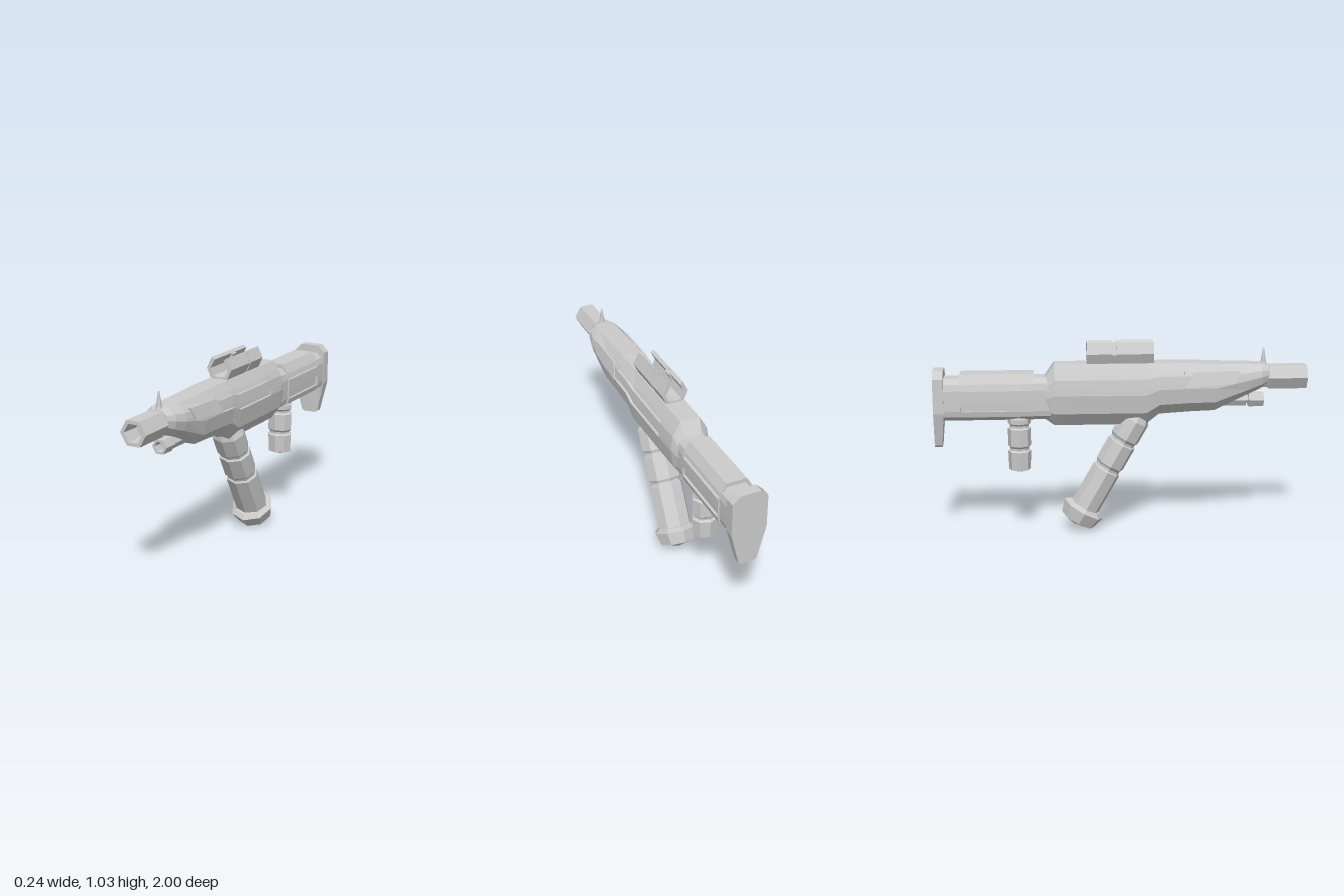
import * as THREE from 'three';

const grey = new THREE.MeshStandardMaterial({ color: 0xcccccc, flatShading: true, side: THREE.DoubleSide });
const TILT = 0.513; // lean of the main grip

function add(parent, name, geo, x = 0, y = 0, z = 0) {
  const m = new THREE.Mesh(geo, grey);
  m.name = name;
  m.position.set(x, y, z);
  parent.add(m);
  return m;
}

// Faceted turned part; profile runs bottom to top as [radius, height]
function turned(profile, sides, phase = 0) {
  return new THREE.LatheGeometry(profile.map(p => new THREE.Vector2(...p)), sides, phase);
}

// Hexagonal tube along z with a hollow mouth; profile as [radius, z]
function hexTube(profile) {
  return turned(profile, 6, Math.PI / 6).rotateX(Math.PI / 2);
}

// Mirrored ring from a half outline [x, y] of 7 points with two slots cut in by depth d
function ring(outline, z, d) {
  const half = [];
  outline.forEach(([x, y], i) => {
    const inner = [x - d, y, z], outer = [x, y, z];
    if (i === 1 || i === 3) half.push(outer, inner);
    else if (i === 2 || i === 4) half.push(inner, outer);
    else half.push(outer);
  });
  return half.concat(half.slice().reverse().map(([x, y, zz]) => [-x, y, zz]));
}

// Closed hull through rings ordered front to back
function loft(rings) {
  const pos = [], n = rings[0].length;
  const tri = (...pts) => pts.forEach(p => pos.push(...p));
  for (let i = 0; i < rings.length - 1; i++) {
    for (let j = 0; j < n; j++) {
      const k = (j + 1) % n, a = rings[i], b = rings[i + 1];
      tri(a[j], a[k], b[k]);
      tri(a[j], b[k], b[j]);
    }
  }
  [rings[0], rings[rings.length - 1]].forEach((r, e) => {
    const c = [0, (r[0][1] + r[n / 2][1]) / 2, r[0][2]];
    for (let j = 0; j < n; j++) {
      const k = (j + 1) % n;
      if (e === 0) tri(c, r[k], r[j]); else tri(c, r[j], r[k]);
    }
  });
  const g = new THREE.BufferGeometry();
  g.setAttribute('position', new THREE.Float32BufferAttribute(pos, 3));
  g.computeVertexNormals();
  return g;
}

function shapeOf(points) {
  return new THREE.Shape(points.map(p => new THREE.Vector2(...p)));
}

function buildReceiver(g) {
  const outline = [[0.055, 0.93], [0.085, 0.88], [0.1, 0.85], [0.107, 0.8], [0.11, 0.77], [0.095, 0.67], [0.04, 0.6]];
  // z, top, bottom, width scale, slot depth
  const stations = [
    [0.79, 0.91, 0.81, 0.55, 0], [0.75, 0.92, 0.785, 0.8, 0], [0.68, 0.922, 0.755, 0.95, 0],
    [0.5, 0.926, 0.67, 1, 0], [0.36, 0.932, 0.665, 1, 0], [0.33, 0.932, 0.663, 1, 0],
    [0.33, 0.932, 0.663, 1, 0.015], [0.2, 0.932, 0.655, 1, 0.015], [0.13, 0.932, 0.6, 1, 0.015],
    [-0.22, 0.932, 0.6, 1, 0.015], [-0.22, 0.932, 0.6, 1, 0], [-0.36, 0.932, 0.6, 0.98, 0],
    [-0.41, 0.86, 0.635, 0.8, 0]
  ];
  add(g, 'receiver', loft(stations.map(([z, top, bot, w, d]) => {
    // upper half follows the top, lower half is squeezed by the rising belly
    const f = (top - bot) / 0.33;
    return ring(outline.map(([x, y]) => [x * w, top - (0.93 - y) * (y > 0.75 ? Math.max(f, 0.3) : f)]), z, d);
  })));

  // Raised plates on the front flanks
  const plate = new THREE.ExtrudeGeometry(
    shapeOf([[-0.63, 0.892], [-0.38, 0.885], [-0.33, 0.808], [-0.6, 0.828]]), { depth: 0.03, bevelEnabled: false });
  plate.rotateY(Math.PI / 2);
  const p = plate.attributes.position;
  for (let i = 0; i < p.count; i++) p.setX(i, p.getX(i) + 0.066 + (0.89 - p.getY(i)) * 0.28);
  plate.computeVertexNormals();
  for (const s of [1, -1]) add(g, s > 0 ? 'leftPlate' : 'rightPlate', plate).scale.x = s;
}

function buildStock(g) {
  const outline = [[0.05, 0.862], [0.078, 0.835], [0.087, 0.8], [0.088, 0.745], [0.087, 0.69], [0.08, 0.66], [0.04, 0.635]];
  const raised = outline.map(([x, y], i) => [x * 1.1, i === 0 ? 0.885 : y]);
  add(g, 'stock', loft([
    ring(outline, -0.38, 0), ring(outline, -0.47, 0), ring(raised, -0.47, 0), ring(raised, -0.475, 0),
    ring(raised, -0.475, 0.015), ring(raised, -0.855, 0.015), ring(raised, -0.855, 0),
    ring(raised, -0.86, 0), ring(outline, -0.86, 0), ring(outline, -0.96, 0)
  ]));

  // Butt plate, thinner towards its toe
  const half = [[0.055, 0.905], [0.095, 0.865], [0.095, 0.68], [0.05, 0.5], [0.035, 0.49]];
  const butt = new THREE.ExtrudeGeometry(
    shapeOf(half.concat(half.slice().reverse().map(([x, y]) => [-x, y]))), { depth: 0.055, bevelEnabled: false });
  const p = butt.attributes.position;
  for (let i = 0; i < p.count; i++) if (p.getZ(i) > 0.01 && p.getY(i) < 0.6) p.setZ(i, 0.04);
  butt.computeVertexNormals();
  add(g, 'buttPlate', butt, 0, 0, -1);
}

function buildBarrels(g) {
  add(g, 'barrel', hexTube([[0, 0.5], [0.062, 0.5], [0.062, 0.785], [0.072, 0.795], [0.072, 1],
    [0.052, 1], [0.047, 0.9], [0, 0.9]]), 0, 0.845);
  add(g, 'lowerBarrel', hexTube([[0, 0.45], [0.036, 0.45], [0.036, 0.675], [0.022, 0.675], [0.022, 0.69],
    [0.042, 0.69], [0.042, 0.77], [0.028, 0.77], [0.026, 0.72], [0, 0.72]]), 0, 0.72);
}

function buildSights(g) {
  // Front spike
  add(g, 'frontSight', turned([[0, 0], [0.026, 0], [0.015, 0.03], [0.009, 0.07], [0.003, 0.105], [0, 0.105]], 6),
    0, 0.895, 0.767);

  // Pairs of curled rails on top
  const claw = [[0, 0.925], [0.045, 0.925], [0.072, 0.985], [0.044, 1.045], [0.027, 1.032], [0.052, 0.985], [0.036, 0.945], [0, 0.94]];
  for (const [z, len, inset] of [[-0.03, 0.2, 0], [-0.06, 0.04, 0.007], [-0.185, 0.135, 0]]) {
    for (const s of [1, -1]) {
      const shape = shapeOf(claw.map(([x, y]) => [s * Math.max(x - inset, 0), y - inset]));
      add(g, 'topRail', new THREE.ExtrudeGeometry(shape, { depth: len, bevelEnabled: false }), 0, 0, z);
    }
  }
}

function buildGrips(g) {
  // Leaning main grip with two grooves and a wide faceted foot
  const grip = new THREE.Group();
  grip.name = 'mainGrip';
  grip.position.set(0, 0.12, -0.205);
  grip.rotation.x = TILT;
  g.add(grip);
  add(grip, 'gripShaft', turned([[0, 0], [0.093, 0], [0.093, 0.255], [0.082, 0.262], [0.082, 0.275], [0.093, 0.29],
    [0.093, 0.423], [0.082, 0.43], [0.082, 0.443], [0.093, 0.458], [0.093, 0.57], [0.065, 0.62], [0, 0.62]], 8)
    .scale(1, 1, 0.86));
  add(grip, 'gripFoot', turned([[0, -0.1], [0.098, -0.07], [0.12, 0], [0.09, 0.02], [0, 0.02]], 8));

  // Upright rear grip
  add(g, 'rearGrip', turned([[0, 0.335], [0.07, 0.355], [0.074, 0.455], [0.062, 0.463], [0.062, 0.475], [0.074, 0.487],
    [0.074, 0.58], [0.062, 0.588], [0.062, 0.6], [0.074, 0.61], [0.074, 0.635], [0.06, 0.66], [0, 0.66]], 8)
    .scale(1, 1, 0.85), 0, 0, -0.55);
}

export function createModel() {
  const g = new THREE.Group();
  g.name = 'rifle';
  buildReceiver(g);
  buildStock(g);
  buildBarrels(g);
  buildSights(g);
  buildGrips(g);
  return g;
}
